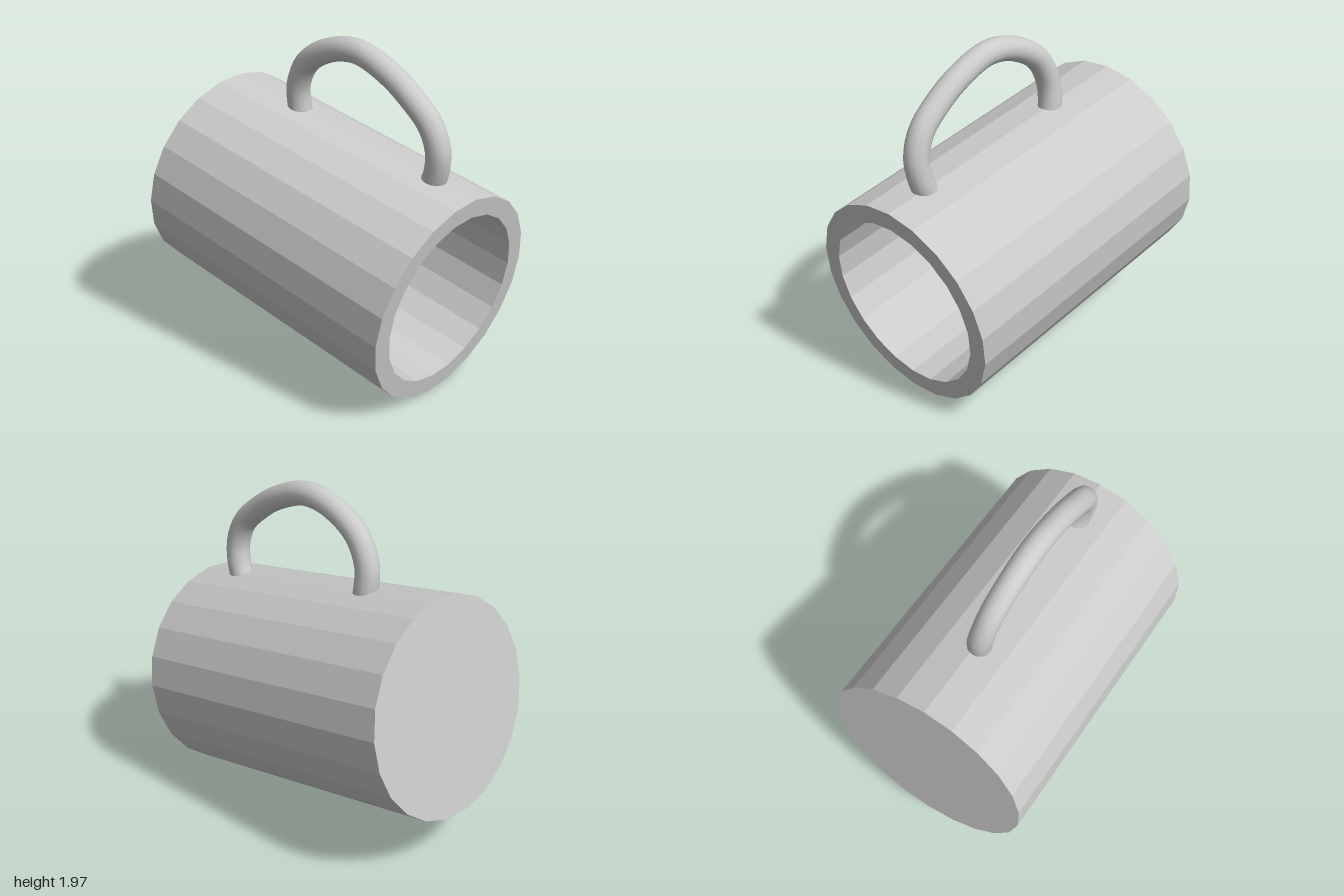
import * as THREE from 'three';

const RADIUS = 0.63, INNER = 0.52, HALF = 0.909, FLOOR = 0.05;
const SIDES = 22, TILT = THREE.MathUtils.degToRad(9.83);

export function createModel() {
  const model = new THREE.Group();
  model.name = 'tiltedMug';

  // Faceted cup: outer base, wall, rim, inner wall and floor in one profile
  const profile = [
    [0, -HALF], [RADIUS, -HALF], [RADIUS, HALF],
    [INNER, HALF], [INNER, -HALF + FLOOR], [0, -HALF + FLOOR],
  ].map(([r, y]) => new THREE.Vector2(r, y));
  const cup = new THREE.Mesh(
    new THREE.LatheGeometry(profile, SIDES, THREE.MathUtils.degToRad(12.4)),
    new THREE.MeshStandardMaterial({ color: 0xcccccc, flatShading: true })
  );
  cup.name = 'cup';
  // Lay the cup down with its mouth to the front and slightly lowered
  cup.rotation.x = Math.PI / 2 + TILT;
  cup.position.y = 0.775;
  model.add(cup);

  // Round handle arching over the top, its ends sunk into the wall
  const path = new THREE.CatmullRomCurve3([
    [0.03, 1.25, 0.71], [0.025, 1.32, 0.74], [0.01, 1.46, 0.76], [0, 1.6, 0.71],
    [-0.005, 1.715, 0.59], [-0.005, 1.82, 0.43], [-0.005, 1.9, 0.2],
    [-0.003, 1.872, 0], [0.005, 1.76, -0.195], [0.015, 1.6, -0.283],
    [0.028, 1.47, -0.288], [0.03, 1.42, -0.28],
  ].map((p) => new THREE.Vector3(...p)));
  const handle = new THREE.Mesh(
    new THREE.TubeGeometry(path, 40, 0.071, 16),
    new THREE.MeshStandardMaterial({ color: 0xcccccc, side: THREE.DoubleSide })
  );
  handle.name = 'handle';
  model.add(handle);

  return model;
}
